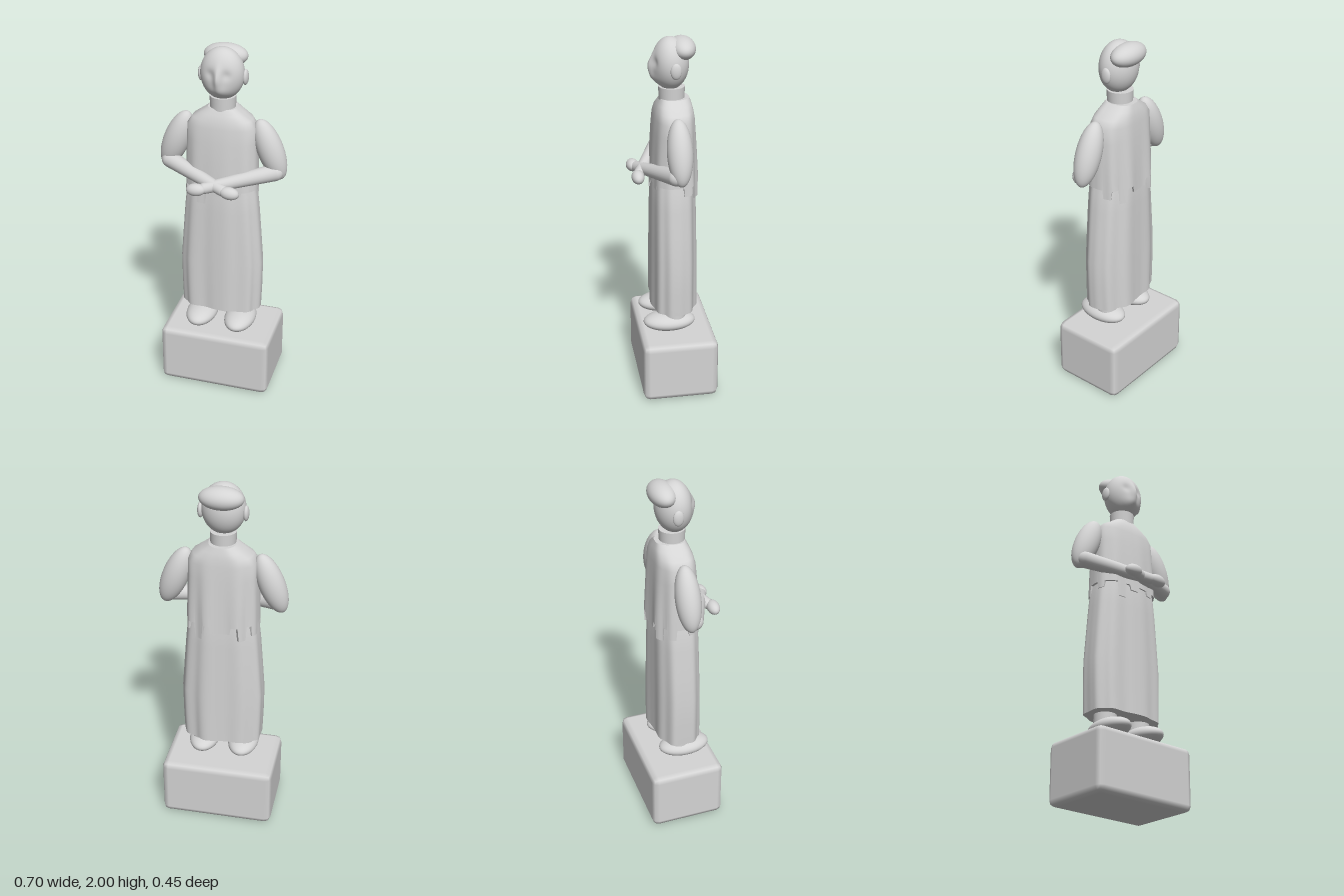
import * as THREE from 'three';
import { RoundedBoxGeometry } from 'three/addons/geometries/RoundedBoxGeometry.js';

const stone = new THREE.MeshStandardMaterial({ color: 0xd4d4d4 });
stone.name = 'grey stone';

function add(parent, name, geometry, position = [0, 0, 0], scale = [1, 1, 1]) {
  const mesh = new THREE.Mesh(geometry, stone);
  mesh.name = name;
  mesh.position.set(...position);
  mesh.scale.set(...scale);
  parent.add(mesh);
  return mesh;
}

const ball = new THREE.SphereGeometry(1, 40, 28);

// Closed draped cloth: rows are [y, half width, front depth, back depth] from top to bottom.
function drape(rows, fold, hem) {
  const N = 180, pos = [], idx = [];
  const first = rows[0], last = rows[rows.length - 1];
  // the end rows are doubled so the caps keep a sharp edge
  const all = [[first, 0], [first, 1], ...rows.map((r) => [r, 1]), [last, 1], [last, 0]];
  const bend = (v) => Math.sign(v) * Math.abs(v) ** 0.78;
  const hemRow = all.length - 3;
  all.forEach(([[y, hx, zf, zb], size], i) => {
    for (let j = 0; j < N; j++) {
      const a = (j / N) * Math.PI * 2;
      const c = bend(Math.cos(a)), s = bend(Math.sin(a));
      const k = size * (1 + fold(a, y));
      const yy = i >= hemRow ? y + hem(a) : y;
      pos.push(hx * c * k, yy, (s > 0 ? zf : zb) * s * k);
    }
  });
  for (let i = 0; i < all.length - 1; i++) {
    if (i === 1 || i === all.length - 3) continue;
    for (let j = 0; j < N; j++) {
      const p = i * N + j, q = i * N + ((j + 1) % N);
      idx.push(p, q, p + N, q, q + N, p + N);
    }
  }
  const g = new THREE.BufferGeometry();
  g.setAttribute('position', new THREE.Float32BufferAttribute(pos, 3));
  g.setIndex(idx);
  g.computeVertexNormals();
  return g;
}

// Tapered round limb between two points
function limb(parent, name, from, to, r0, r1) {
  const a = new THREE.Vector3(...from), b = new THREE.Vector3(...to);
  const len = a.distanceTo(b), pts = [];
  for (let i = 0; i <= 8; i++) {
    const t = (i / 8) * Math.PI / 2;
    pts.push(new THREE.Vector2(r0 * Math.sin(t), -r0 * Math.cos(t)));
  }
  for (let i = 0; i <= 8; i++) {
    const t = (i / 8) * Math.PI / 2;
    pts.push(new THREE.Vector2(r1 * Math.cos(t), len + r1 * Math.sin(t)));
  }
  const m = add(parent, name, new THREE.LatheGeometry(pts, 28), from);
  m.quaternion.setFromUnitVectors(new THREE.Vector3(0, 1, 0), b.sub(a).normalize());
}

// Head: an egg with nose ridge, chin and eye sockets
function headGeometry() {
  const g = new THREE.SphereGeometry(1, 72, 56);
  const p = g.attributes.position;
  const bump = (v, c, w) => Math.exp(-(((v - c) / w) ** 2));
  for (let i = 0; i < p.count; i++) {
    let x = p.getX(i), y = p.getY(i), z = p.getZ(i);
    x *= 0.116;
    y *= 0.138;
    const front = z > 0 ? Math.min(1, z * 1.5) : 0;
    z *= z > 0 ? 0.092 : 0.1;
    z += front * 0.024 * bump(x, 0, 0.019) * bump(y, -0.01, 0.055);
    z += front * 0.014 * bump(x, 0, 0.055) * bump(y, -0.075, 0.035);
    z -= front * 0.009 * bump(Math.abs(x), 0.042, 0.024) * bump(y, 0.015, 0.025);
    p.setXYZ(i, x, y, z);
  }
  g.computeVertexNormals();
  return g;
}

export function createModel() {
  const model = new THREE.Group();
  model.name = 'robedStatue';

  // Plinth with chamfered edges
  add(model, 'plinth', new RoundedBoxGeometry(0.632, 0.346, 0.42, 1, 0.035), [0, 0.175, -0.018]);

  // Long skirt with vertical folds that deepen toward the floor
  const skirtFold = (a, y) => {
    const depth = 0.5 + (1.3 - y) * 0.7;
    const wave = 0.042 * Math.sin(9 * a + 0.8) + 0.025 * Math.sin(5 * a + 2);
    return depth * wave * (0.2 + 0.8 * Math.abs(Math.sin(a)));
  };
  add(model, 'skirt', drape([
    [1.34, 0.165, 0.092, 0.115],
    [1.2, 0.193, 0.104, 0.127],
    [1.1, 0.204, 0.107, 0.129],
    [0.95, 0.216, 0.109, 0.131],
    [0.78, 0.229, 0.111, 0.133],
    [0.62, 0.227, 0.112, 0.134],
    [0.485, 0.222, 0.113, 0.135],
  ], skirtFold, () => 0));

  // Tunic with a ragged hem; tabs are [angle, half width, drop]
  const tabs = [[113, 7, 0.085], [92, 4, 0.03], [62, 6, 0.025], [165, 9, 0.04],
    [205, 10, 0.06], [237, 9, 0.08], [268, 10, 0.04], [300, 9, 0.085], [335, 9, 0.05]];
  const hem = (a) => {
    const deg = THREE.MathUtils.radToDeg(a);
    const tab = tabs.find(([c, w]) => Math.abs(deg - c) <= w);
    return tab ? -tab[2] : 0;
  };
  const tunicFold = (a, y) => {
    const depth = THREE.MathUtils.clamp((1.7 - y) * 2.4, 0.1, 1);
    return depth * (Math.sin(a) < 0 ? 0.045 : 0.022) * Math.sin(9 * a + 0.8) * Math.abs(Math.sin(a));
  };
  add(model, 'tunic', drape([
    [1.68, 0.075, 0.052, 0.102],
    [1.65, 0.115, 0.068, 0.112],
    [1.62, 0.16, 0.08, 0.119],
    [1.58, 0.187, 0.089, 0.124],
    [1.5, 0.19, 0.097, 0.129],
    [1.4, 0.193, 0.103, 0.134],
    [1.3, 0.196, 0.107, 0.138],
    [1.235, 0.198, 0.11, 0.141],
  ], tunicFold, hem));

  // Neck
  add(model, 'neck', new THREE.CylinderGeometry(0.07, 0.066, 0.12, 36), [0, 1.68, -0.01]);

  // Head, hair and ears
  add(model, 'head', headGeometry(), [0, 1.862, 0]);
  add(model, 'hair', ball, [0, 1.939, -0.064], [0.117, 0.06, 0.07]);

  for (const side of [1, -1]) {
    const label = side > 0 ? 'left' : 'right';
    add(model, label + 'Ear', ball, [side * 0.118, 1.847, -0.015], [0.016, 0.042, 0.029]);

    // Full sleeve, slanting outward to the elbow
    const sleeve = add(model, label + 'Sleeve', ball, [side * 0.257, 1.46, -0.012], [0.071, 0.175, 0.067]);
    sleeve.rotation.z = side * 0.38;

    // Forearms cross in front of the waist
    limb(model, label + 'Forearm', [side * 0.29, 1.342, 0.012], [-side * 0.05, 1.278, 0.172], 0.046, 0.03);
    const hand = add(model, label + 'Hand', ball, [-side * 0.09, 1.274, side > 0 ? 0.192 : 0.184], [0.053, 0.034, 0.034]);
    hand.rotation.z = side * 0.1;

    // Ankles and feet
    add(model, label + 'Ankle', new THREE.CylinderGeometry(0.062, 0.062, 0.14, 32), [side * 0.115, 0.49, -0.01]);
    add(model, label + 'Foot', ball, [side * 0.113, 0.404, 0.021], [0.087, 0.052, 0.145]);
  }
  return model;
}
